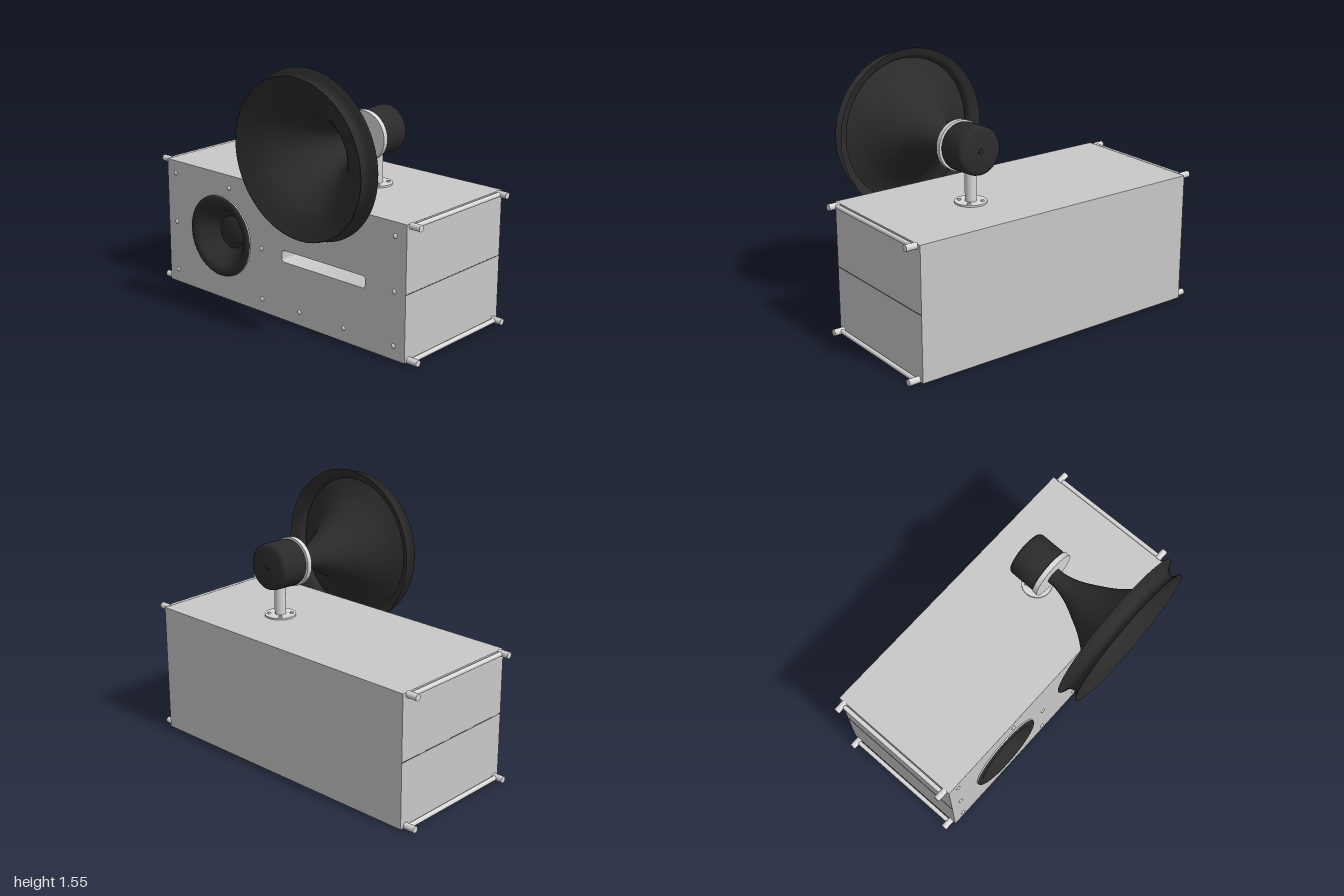
import * as THREE from 'three';
import { toCreasedNormals } from 'three/addons/utils/BufferGeometryUtils.js';

const V = (x, y) => new THREE.Vector2(x, y);

export function createModel() {
  const model = new THREE.Group();
  const mat = (name, color, side = THREE.FrontSide) => {
    const m = new THREE.MeshStandardMaterial({ color, side });
    m.name = name;
    return m;
  };
  const cabinetGrey = mat('cabinetGrey', 0xc8c8c8);
  const metal = mat('paleMetal', 0xd8d8d8, THREE.DoubleSide);
  const black = mat('softBlack', 0x2b2b2b, THREE.DoubleSide);
  const seamGrey = mat('seamGrey', 0x5a5a5a);

  const add = (parent, name, geo, material, x = 0, y = 0, z = 0) => {
    const mesh = new THREE.Mesh(geo, material);
    mesh.name = name;
    mesh.position.set(x, y, z);
    parent.add(mesh);
    return mesh;
  };
  const lathe = (pts, crease) => {
    const g = new THREE.LatheGeometry(pts, 80);
    return crease ? toCreasedNormals(g, crease) : g;
  };

  // Cabinet: a block with a round driver opening and a slot port
  const W = 0.933, Y0 = 0.01, Y1 = 0.79, FRONT = 0.305, BACK = -0.54;
  const wx = -0.47, wy = 0.402;
  const outline = new THREE.Shape([V(-W, Y0), V(W, Y0), V(W, Y1), V(-W, Y1)]);
  const opening = new THREE.Path();
  opening.absarc(wx, wy, 0.235, 0, Math.PI * 2, true);
  const slot = new THREE.Path();
  const sx0 = 0.03, sx1 = 0.652, sy0 = 0.364, sy1 = 0.434, r = 0.018;
  slot.absarc(sx0 + r, sy0 + r, r, Math.PI * 1.5, Math.PI, true);
  slot.absarc(sx0 + r, sy1 - r, r, Math.PI, Math.PI / 2, true);
  slot.absarc(sx1 - r, sy1 - r, r, Math.PI / 2, 0, true);
  slot.absarc(sx1 - r, sy0 + r, r, 0, -Math.PI / 2, true);
  slot.closePath();
  outline.holes.push(opening, slot);
  const body = new THREE.ExtrudeGeometry(outline, { depth: FRONT - BACK - 0.02, bevelEnabled: false, curveSegments: 32 });
  add(model, 'cabinet', toCreasedNormals(body, 0.6), cabinetGrey, 0, 0, BACK + 0.02);
  add(model, 'backPanel', new THREE.BoxGeometry(2 * W, Y1 - Y0, 0.02), cabinetGrey, 0, (Y0 + Y1) / 2, BACK + 0.01);

  // Side seams, corner pegs and the rails between them
  for (const s of [-1, 1]) {
    add(model, 'sideSeam', new THREE.BoxGeometry(0.003, 0.005, FRONT - BACK), seamGrey, s * W, 0.4, (FRONT + BACK) / 2);
    for (const y of [0.02, 0.777]) {
      const rail = add(model, 'sideRail', new THREE.CylinderGeometry(0.0135, 0.0135, 0.77, 20), metal, s * 0.951, y, -0.115);
      rail.rotation.x = Math.PI / 2;
      for (const z of [0.27, -0.5]) {
        const peg = add(model, 'cornerPeg', new THREE.CylinderGeometry(0.019, 0.019, 0.07, 24), metal, s * 0.965, y, z);
        peg.rotation.z = Math.PI / 2;
      }
    }
  }

  // Front panel screws
  const screws = [
    [-0.863, 0.712], [-0.395, 0.712], [0.855, 0.712],
    [-0.863, 0.402], [-0.133, 0.402], [0.855, 0.402],
    [-0.863, 0.09], [-0.133, 0.09], [0.165, 0.09], [0.5, 0.09], [0.855, 0.09],
  ];
  for (const [x, y] of screws) {
    const screw = add(model, 'screw', new THREE.SphereGeometry(0.014, 14, 6, 0, Math.PI * 2, 0, Math.PI / 2), metal, x, y, FRONT);
    screw.rotation.x = Math.PI / 2;
    screw.scale.y = 0.7;
  }

  // Woofer: basket ring, rolled surround, recessed cone and dust cap
  const woofer = new THREE.Group();
  woofer.name = 'woofer';
  woofer.position.set(wx, wy, FRONT);
  woofer.rotation.x = Math.PI / 2;
  model.add(woofer);
  add(woofer, 'basketRing', new THREE.CylinderGeometry(0.248, 0.248, 0.007, 80, 1, true), metal, 0, 0.0035, 0);
  add(woofer, 'surround', lathe([
    V(0.248, 0.006), V(0.246, 0.012), V(0.238, 0.017), V(0.226, 0.018), V(0.212, 0.016),
    V(0.196, 0.009), V(0.182, -0.004), V(0.168, -0.022),
  ]), black);
  add(woofer, 'cone', lathe([V(0.168, -0.022), V(0.135, -0.056), V(0.1, -0.09)]), black);
  add(woofer, 'dustCap', lathe([V(0.1, -0.09), V(0.08, -0.08), V(0.045, -0.071), V(0.001, -0.068)]), black);

  // Horn stand: bolted flange and post
  const hx = 0.34, pz = -0.158;
  add(model, 'standFlange', new THREE.CylinderGeometry(0.092, 0.092, 0.01, 48), metal, hx, Y1 + 0.005, pz);
  add(model, 'standPost', new THREE.CylinderGeometry(0.033, 0.033, 0.2, 32), metal, hx, 0.89, pz);
  for (let i = 0; i < 4; i++) {
    const a = Math.PI / 4 + i * Math.PI / 2;
    add(model, 'flangeBolt', new THREE.CylinderGeometry(0.01, 0.012, 0.006, 12), metal,
      hx + 0.066 * Math.cos(a), Y1 + 0.013, pz + 0.066 * Math.sin(a));
  }

  // Horn, tipped slightly down; its local y axis runs out of the mouth
  const horn = new THREE.Group();
  horn.name = 'horn';
  horn.position.set(hx, 1.065, 0.515);
  horn.rotation.x = Math.PI / 2 + 0.052;
  model.add(horn);

  const flare = new THREE.SplineCurve([
    V(0.047, -0.565), V(0.05, -0.5), V(0.073, -0.415), V(0.116, -0.325),
    V(0.18, -0.215), V(0.28, -0.1), V(0.355, -0.045), V(0.452, 0),
  ]);
  add(horn, 'hornFlare', lathe(flare.getPoints(40)), black);

  // Grooved lip round the mouth
  const lip = new THREE.SplineCurve([
    V(0.452, 0), V(0.455, -0.003), V(0.43, -0.018), V(0.418, -0.045), V(0.432, -0.078), V(0.474, -0.098), V(0.482, -0.104),
  ]);
  add(horn, 'mouthLip', lathe(lip.getPoints(30)), black);
  add(horn, 'throatPlug', new THREE.SphereGeometry(0.03, 24, 16), black, 0, -0.545, 0);

  // Compression driver behind the throat
  add(horn, 'driverCollar', new THREE.CylinderGeometry(0.145, 0.145, 0.03, 64), metal, 0, -0.571, 0);
  add(horn, 'driver', lathe([
    V(0, -0.772), V(0.112, -0.772), V(0.126, -0.768), V(0.135, -0.759), V(0.138, -0.746),
    V(0.138, -0.602), V(0.134, -0.592), V(0.122, -0.586), V(0, -0.586),
  ], 0.6), black);
  add(horn, 'driverTip', new THREE.CylinderGeometry(0.015, 0.015, 0.008, 16), black, 0, -0.775, 0);

  return model;
}
